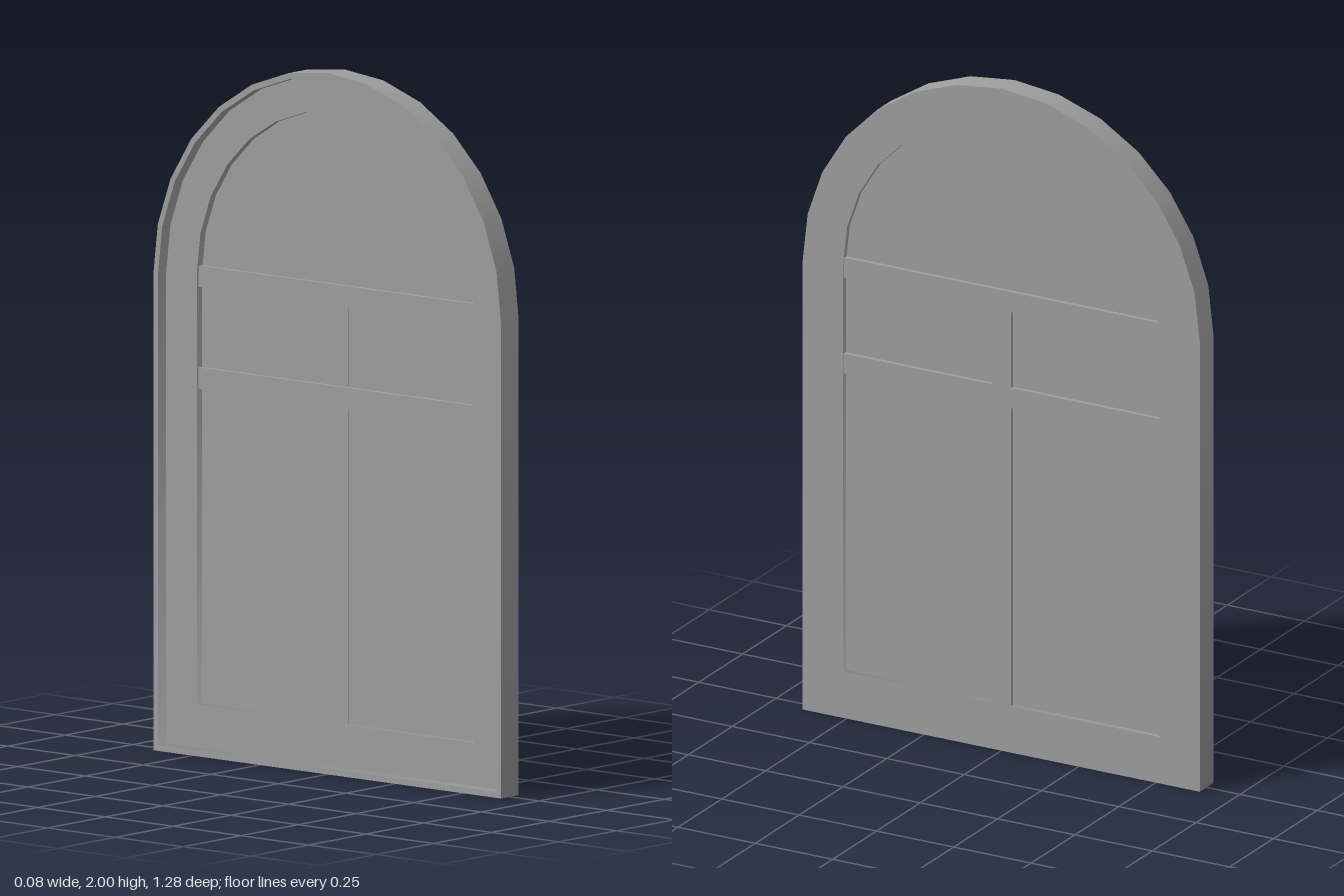
import * as THREE from 'three';

const material = new THREE.MeshStandardMaterial({ color: 0x9d9d9d });
const SEGMENTS = 14;

// Outline of an arched panel: straight sides with a half-round top
function archPoints(half, bottom, spring) {
  const points = [new THREE.Vector2(-half, bottom), new THREE.Vector2(half, bottom)];
  for (let i = 0; i <= SEGMENTS; i++) {
    const a = (Math.PI * i) / SEGMENTS;
    points.push(new THREE.Vector2(half * Math.cos(a), spring + half * Math.sin(a)));
  }
  return points;
}

// Blend the normals around the edge walls, leaving the flat faces crisp
function smoothWalls(geometry) {
  const { position, normal } = geometry.attributes;
  const { start, count } = geometry.groups[1];
  const sums = new Map();
  const keyOf = (i) => `${position.getX(i).toFixed(4)},${position.getY(i).toFixed(4)}`;
  for (let i = start; i < start + count; i++) {
    const key = keyOf(i);
    if (!sums.has(key)) sums.set(key, new THREE.Vector3());
    sums.get(key).add(new THREE.Vector3().fromBufferAttribute(normal, i));
  }
  for (const sum of sums.values()) sum.normalize();
  for (let i = start; i < start + count; i++) {
    const n = sums.get(keyOf(i));
    normal.setXYZ(i, n.x, n.y, n.z);
  }
}

// Arched slab lying between x0 and x1, with an optional arched opening
function archPanel(name, outer, inner, x0, x1) {
  const shape = new THREE.Shape(archPoints(...outer));
  if (inner) shape.holes.push(new THREE.Path(archPoints(...inner).reverse()));
  const geometry = new THREE.ExtrudeGeometry(shape, { depth: x1 - x0, bevelEnabled: false });
  smoothWalls(geometry);
  geometry.rotateY(Math.PI / 2).translate(x0, 0, 0);
  const mesh = new THREE.Mesh(geometry, material);
  mesh.name = name;
  return mesh;
}

// Straight bar given by its limits on each axis
function bar(name, [x0, x1], [y0, y1], [z0, z1]) {
  const mesh = new THREE.Mesh(new THREE.BoxGeometry(x1 - x0, y1 - y0, z1 - z0), material);
  mesh.position.set((x0 + x1) / 2, (y0 + y1) / 2, (z0 + z1) / 2);
  mesh.name = name;
  return mesh;
}

export function createModel() {
  const group = new THREE.Group();
  group.name = 'archedWindow';

  const outer = [0.642, 0, 1.358];
  const rebate = [0.625, 0.017, 1.358];
  const opening = [0.511, 0.14, 1.372];

  // Frame with a raised rim around its rear edge
  group.add(archPanel('frame', outer, opening, -0.003, 0.0385));
  group.add(archPanel('rearRim', outer, rebate, -0.0385, -0.003));

  // Thin pane set back within the opening
  group.add(archPanel('pane', opening, null, 0.019, 0.023));

  // Crossbars stand proud on both sides of the pane
  for (const [name, y] of [['lowerCrossbar', 1.04], ['upperCrossbar', 1.33]]) {
    group.add(bar(name, [0.004, 0.036], [y, y + 0.06], [-0.511, 0.511]));
  }

  // Central upright, in two lengths between the crossbars
  group.add(bar('lowerUpright', [0.017, 0.036], [0.14, 1.04], [-0.03, 0.03]));
  group.add(bar('upperUpright', [0.017, 0.036], [1.1, 1.33], [-0.03, 0.03]));

  return group;
}
